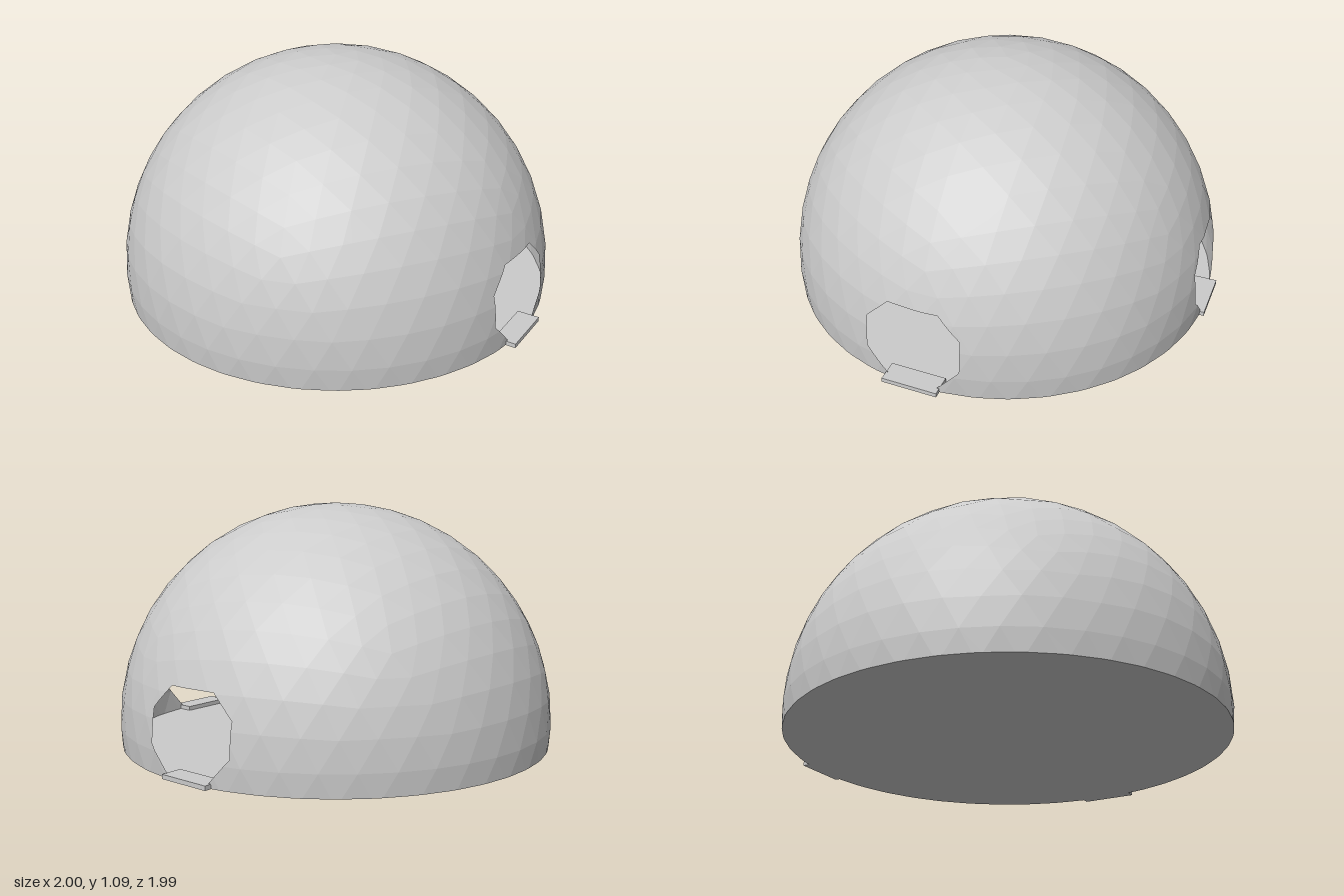
import * as THREE from 'three';

const C = new THREE.Vector3(-0.01, 0.1, 0.003); // sphere centre
const R = 0.988;
const DOORS = [
  { name: 'left', centre: 0.042, side: p => p.x, along: p => p.z },
  { name: 'back', centre: -0.052, side: p => -p.z, along: p => p.x },
];
// Octagonal opening, as (along, y), counter-clockwise
const OCTAGON = [
  [-0.115, 0.02], [0.115, 0.02], [0.215, 0.13], [0.215, 0.28],
  [0.115, 0.38], [-0.115, 0.38], [-0.215, 0.28], [-0.215, 0.13],
];

// Split a convex polygon by a signed distance: [part below 0, part above 0]
function split(poly, dist) {
  const below = [], above = [];
  poly.forEach((a, i) => {
    const b = poly[(i + 1) % poly.length];
    const da = dist(a), db = dist(b);
    if (da <= 0) below.push(a);
    if (da >= 0) above.push(a);
    if (da * db < 0) {
      const p = a.clone().lerp(b, da / (da - db));
      below.push(p);
      above.push(p);
    }
  });
  return [below, above];
}

// Remove a door's octagonal prism from one polygon
function cutDoor(poly, door) {
  if (poly.every(p => door.side(p) < 0.5)) return [poly];
  const kept = [];
  let rest = poly;
  for (let i = 0; i < 8 && rest.length > 2; i++) {
    const [u0, y0] = OCTAGON[i], [u1, y1] = OCTAGON[(i + 1) % 8];
    const outside = p => (p.y - y0) * (u0 - u1) + (p.a - u0) * (y1 - y0);
    const [inner, outer] = split(rest, p =>
      outside({ y: p.y, a: door.along(p) - door.centre }));
    if (outer.length > 2) kept.push(outer);
    rest = inner;
  }
  return kept;
}

export function createModel() {
  const group = new THREE.Group();
  const material = new THREE.MeshStandardMaterial({
    color: 0xcccccc, flatShading: true, side: THREE.DoubleSide,
  });
  const add = (geometry, name) => {
    const mesh = new THREE.Mesh(geometry, material);
    mesh.name = name;
    group.add(mesh);
    return mesh;
  };

  // Geodesic shell with a vertex at the top, trimmed at the ground and at the doors
  const ball = new THREE.IcosahedronGeometry(R, 7);
  ball.rotateZ(-Math.atan(2 / (1 + Math.sqrt(5))));
  ball.translate(C.x, C.y, C.z);
  const pos = ball.attributes.position;
  const verts = [], rim = [];
  for (let i = 0; i < pos.count; i += 3) {
    const tri = [0, 1, 2].map(k => new THREE.Vector3().fromBufferAttribute(pos, i + k));
    const top = split(tri, p => p.y)[1];
    if (top.length < 3) continue;
    rim.push(...top.filter(p => Math.abs(p.y) < 1e-6));
    let polys = [top];
    for (const door of DOORS) polys = polys.flatMap(p => cutDoor(p, door));
    for (const p of polys) {
      for (let k = 1; k < p.length - 1; k++) {
        for (const v of [p[0], p[k], p[k + 1]]) verts.push(v.x, v.y, v.z);
      }
    }
  }
  const shell = new THREE.BufferGeometry();
  shell.setAttribute('position', new THREE.Float32BufferAttribute(verts, 3));
  shell.computeVertexNormals();
  add(shell, 'domeShell');

  // Floor follows the trimmed lower rim
  const angle = p => Math.atan2(p.z - C.z, p.x - C.x);
  rim.sort((a, b) => angle(a) - angle(b));
  const outline = rim.filter((p, i) => i === 0 || p.distanceTo(rim[i - 1]) > 1e-4);
  const floor = new THREE.ShapeGeometry(
    new THREE.Shape(outline.map(p => new THREE.Vector2(p.x, p.z))));
  floor.rotateX(Math.PI / 2);
  add(floor, 'floor');

  // Door sills
  const depth = 0.1, width = 0.252, height = 0.02;
  add(new THREE.BoxGeometry(depth, height, width), 'leftDoorSill')
    .position.set(1 - depth / 2, height / 2, DOORS[0].centre);
  add(new THREE.BoxGeometry(width, height, depth), 'backDoorSill')
    .position.set(DOORS[1].centre, height / 2, -0.995 + depth / 2);

  return group;
}
